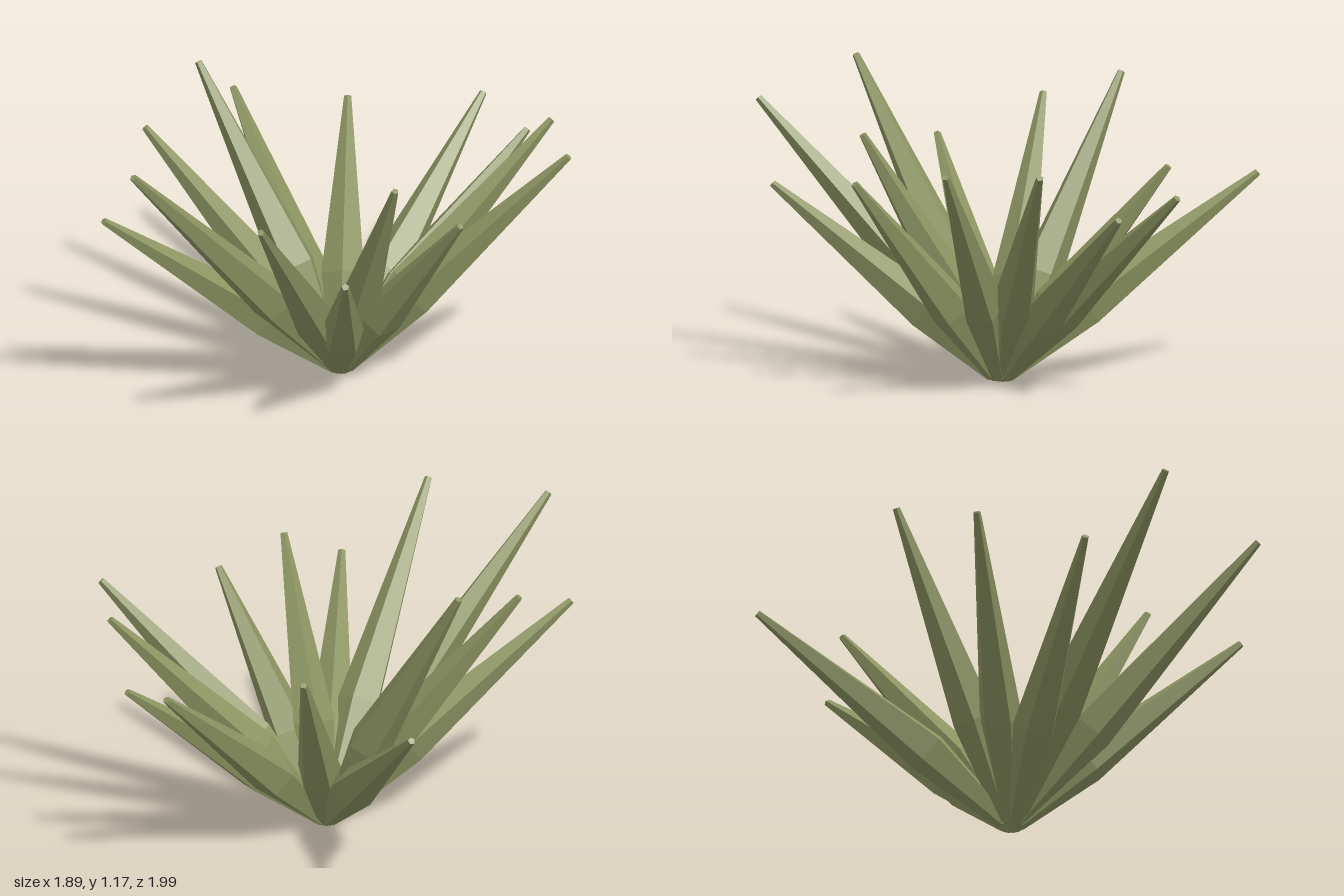
import * as THREE from 'three';

const SIDES = 5;
const BASE_R = 0.035, BULGE_R = 0.09, TIP_R = 0.015;
const BULGE_AT = 0.32;   // where along the blade it is widest
const BULGE_LIFT = 0.02; // the belly stays flatter than the ridge
const ROOT = new THREE.Vector3(0.06, 0.034, 0.05);

// blade tips, going round the tuft
const TIPS = [
  [-0.17, 0.8, -0.985], [0.22, 0.895, -0.61], [0.77, 0.86, -0.615], [0.9, 0.795, -0.375],
  [0.935, 0.975, -0.06], [0.93, 0.98, 0.315], [0.425, 0.87, 0.65], [0.17, 1.025, 0.605],
  [-0.1, 0.785, 0.95], [-0.45, 1.07, 0.985], [-0.885, 1.165, 0.575], [-0.94, 0.835, 0.25],
  [-0.69, 1.04, -0.16], [-0.415, 1.17, -0.455],
];

// five-sided blade along +y, ridge towards +z, swollen at the middle ring
function bladeGeometry(length) {
  const g = new THREE.CylinderGeometry(TIP_R, BASE_R, length, SIDES, 2);
  const p = g.attributes.position;
  const swell = BULGE_R / ((TIP_R + BASE_R) / 2);
  for (let i = 0; i < p.count; i++) {
    if (Math.abs(p.getY(i)) < 1e-4) {
      p.setXYZ(i, p.getX(i) * swell, length * BULGE_AT, p.getZ(i) * swell + BULGE_LIFT);
    } else {
      p.setY(i, p.getY(i) + length / 2);
    }
  }
  g.computeVertexNormals();
  return g;
}

export function createModel() {
  const model = new THREE.Group();
  model.name = 'spikyGrassTuft';
  const green = new THREE.MeshStandardMaterial({ color: 0x8c9462, flatShading: true });
  green.name = 'olive green';

  TIPS.forEach((t, i) => {
    const tip = new THREE.Vector3(...t);
    // each blade starts slightly outside the centre, on its own side
    const out = new THREE.Vector3(tip.x - ROOT.x, 0, tip.z - ROOT.z).normalize();
    const base = ROOT.clone().addScaledVector(out, 0.028);
    const axis = tip.clone().sub(base);
    const length = axis.length();
    axis.normalize();
    const ridge = new THREE.Vector3(0, 1, 0).addScaledVector(axis, -axis.y).normalize();
    const side = new THREE.Vector3().crossVectors(axis, ridge);

    const blade = new THREE.Mesh(bladeGeometry(length), green);
    blade.name = `blade${i + 1}`;
    blade.quaternion.setFromRotationMatrix(new THREE.Matrix4().makeBasis(side, axis, ridge));
    blade.position.copy(base);
    model.add(blade);
  });
  return model;
}
